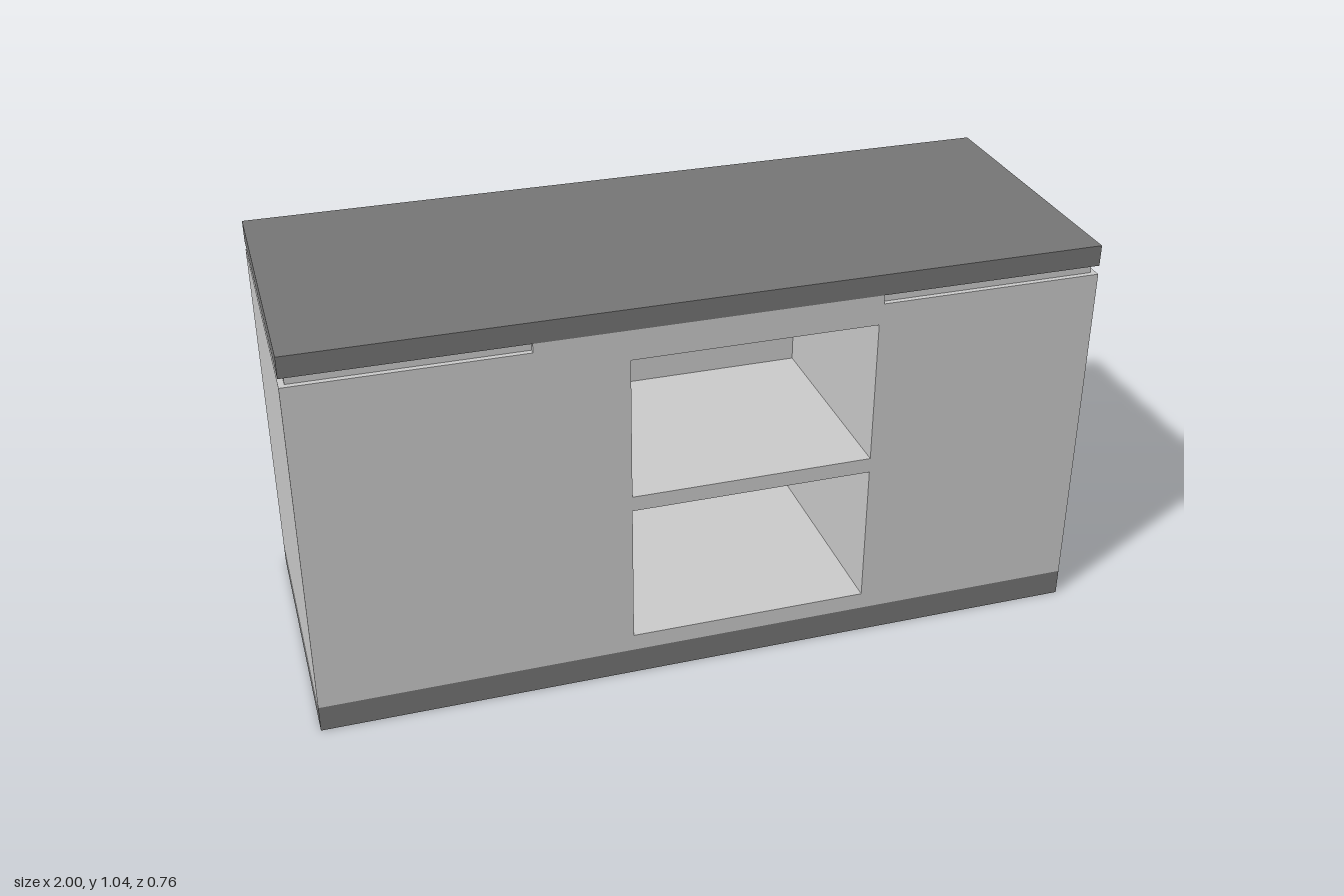
import * as THREE from 'three';
import { mergeGeometries } from 'three/addons/utils/BufferGeometryUtils.js';

const W = 1, D = 0.382;                       // half width, half depth
const BASE = 0.07, SHOULDER = 0.96, TOP = 0.983, HEIGHT = 1.037;
const MID = 0.43, INSET = 0.014;              // raised middle half width, shadow gap inset
const NICHE = { x0: -0.2, x1: 0.42, depth: 0.56, rows: [[0.115, 0.49], [0.53, 0.905]] };

const grey = new THREE.MeshStandardMaterial({ color: 0xcccccc });
const dark = new THREE.MeshStandardMaterial({ color: 0x767676 });

function polygon(points) {
  return points.map(([x, y]) => new THREE.Vector2(x, y));
}

// Drops the faces that look towards +z; inward = true turns the shell inside out.
function openFront(geometry, inward = false) {
  const flat = geometry.index ? geometry.toNonIndexed() : geometry;
  const p = flat.attributes.position, n = flat.attributes.normal;
  const out = [];
  for (let i = 0; i < p.count; i += 3) {
    if (n.getZ(i) > 0.5) continue;
    for (const k of inward ? [0, 2, 1] : [0, 1, 2]) {
      out.push(p.getX(i + k), p.getY(i + k), p.getZ(i + k));
    }
  }
  const result = new THREE.BufferGeometry();
  result.setAttribute('position', new THREE.Float32BufferAttribute(out, 3));
  result.computeVertexNormals();
  return result;
}

function addMesh(group, name, geometry, material) {
  const mesh = new THREE.Mesh(geometry, material);
  mesh.name = name;
  group.add(mesh);
  return mesh;
}

function addSlab(group, name, x0, x1, y0, y1, halfDepth, material) {
  const geometry = new THREE.BoxGeometry(x1 - x0, y1 - y0, 2 * halfDepth);
  addMesh(group, name, geometry, material).position.set((x0 + x1) / 2, (y0 + y1) / 2, 0);
}

export function createModel() {
  const group = new THREE.Group();
  group.name = 'counter';

  // Plinth and worktop
  addSlab(group, 'plinth', -W, W, 0, BASE, D, dark);
  addSlab(group, 'worktop', -W, W, TOP, HEIGHT, D, dark);

  // Cabinet shell: stepped outline with a raised middle, open at the front
  const outline = polygon([
    [-W, BASE], [W, BASE], [W, SHOULDER], [MID, SHOULDER],
    [MID, TOP], [-MID, TOP], [-MID, SHOULDER], [-W, SHOULDER],
  ]);
  const shell = new THREE.ExtrudeGeometry(new THREE.Shape(outline), { depth: 2 * D, bevelEnabled: false });
  shell.translate(0, 0, -D);

  // Front panel with two openings
  const front = new THREE.Shape(outline);
  const { x0, x1, depth, rows } = NICHE;
  for (const [y0, y1] of rows) {
    front.holes.push(new THREE.Path(polygon([[x0, y0], [x0, y1], [x1, y1], [x1, y0]])));
  }
  const panel = new THREE.ShapeGeometry(front).toNonIndexed();
  panel.deleteAttribute('uv');
  panel.translate(0, 0, D);
  addMesh(group, 'cabinet', mergeGeometries([openFront(shell), panel]), grey);

  // Shelf niches, seen from inside
  rows.forEach(([y0, y1], i) => {
    const box = new THREE.BoxGeometry(x1 - x0, y1 - y0, depth);
    box.translate((x0 + x1) / 2, (y0 + y1) / 2, D - depth / 2);
    addMesh(group, i ? 'upperNiche' : 'lowerNiche', openFront(box, true), grey);
  });

  // Inset spacers forming the shadow gap below the worktop
  addSlab(group, 'leftSpacer', MID, W - INSET, SHOULDER, TOP, D - INSET, grey);
  addSlab(group, 'rightSpacer', -W + INSET, -MID, SHOULDER, TOP, D - INSET, grey);

  return group;
}
